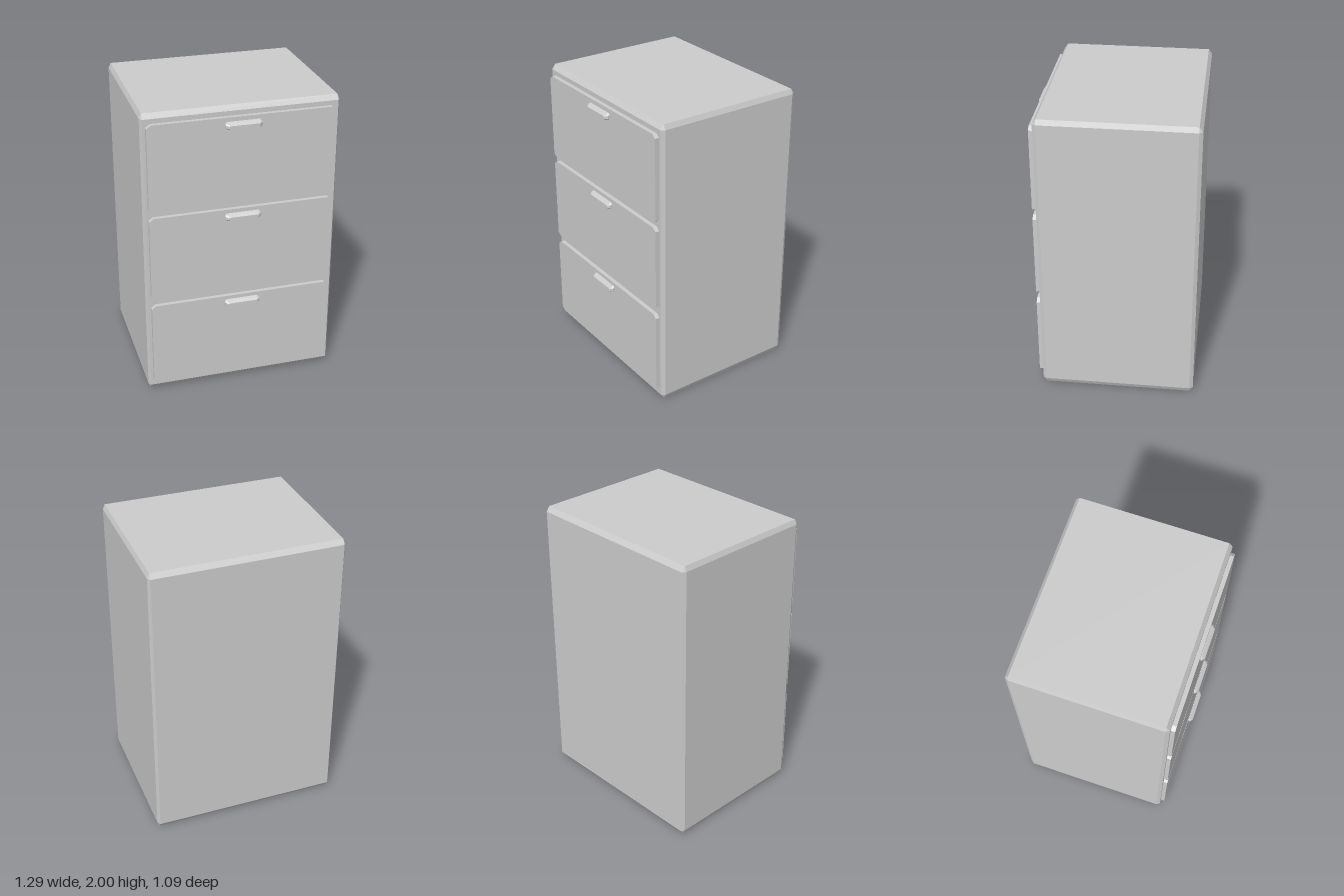
import * as THREE from 'three';
import { ConvexGeometry } from 'three/addons/geometries/ConvexGeometry.js';

const material = new THREE.MeshStandardMaterial({ color: 0xcccccc, flatShading: true });

function part(name, geometry, x, y, z) {
  const mesh = new THREE.Mesh(geometry, material);
  mesh.name = name;
  mesh.position.set(x, y, z);
  return mesh;
}

// Box with every edge bevelled; h = half sizes, c = bevel along each axis
function chamferedBox(h, c) {
  const points = [];
  for (let axis = 0; axis < 3; axis++)
    for (const sx of [-1, 1]) for (const sy of [-1, 1]) for (const sz of [-1, 1]) {
      const p = [sx, sy, sz].map((s, i) => s * (i === axis ? h[i] : h[i] - c[i]));
      points.push(new THREE.Vector3(...p));
    }
  return new ConvexGeometry(points);
}

// Corner points of a rectangle with cut corners
function cutRect(hw, hh, cx, cy) {
  return [
    [hw, -hh + cy], [hw, hh - cy], [hw - cx, hh], [-hw + cx, hh],
    [-hw, hh - cy], [-hw, -hh + cy], [-hw + cx, -hh], [hw - cx, -hh],
  ].map(([x, y]) => new THREE.Vector2(x, y));
}

// Pull: cut-corner base, straight rim, then a face set low so the top slopes
function handleGeometry() {
  const layer = (hw, hh, cx, cy, dy, z) =>
    cutRect(hw, hh, cx, cy).map((p) => new THREE.Vector3(p.x, p.y + dy, z));
  return new ConvexGeometry([
    ...layer(0.12, 0.024, 0.014, 0.011, 0, 0),
    ...layer(0.12, 0.019, 0.014, 0.009, -0.003, 0.013),
    ...layer(0.1, 0.01, 0.006, 0.003, -0.006, 0.028),
  ]);
}

export function createModel() {
  const model = new THREE.Group();
  model.name = 'drawerCabinet';

  // Cabinet body
  model.add(part('cabinetBody',
    chamferedBox([0.647, 1, 0.518], [0.015, 0.033, 0.024]), 0, 1, -0.029));

  // Three drawers, each with a pull near its top edge
  const front = new THREE.ExtrudeGeometry(
    new THREE.Shape(cutRect(0.615, 0.298, 0.03, 0.022)), { depth: 0.037, bevelEnabled: false });
  const handle = handleGeometry();
  const rows = [['top', 1.638, 1.884], ['middle', 1.009, 1.257], ['bottom', 0.369, 0.618]];
  for (const [name, y, handleY] of rows) {
    const drawer = new THREE.Group();
    drawer.name = name + 'Drawer';
    drawer.add(part('drawerFront', front, 0, y, 0.48));
    drawer.add(part('drawerHandle', handle, 0, handleY, 0.517));
    model.add(drawer);
  }
  return model;
}
